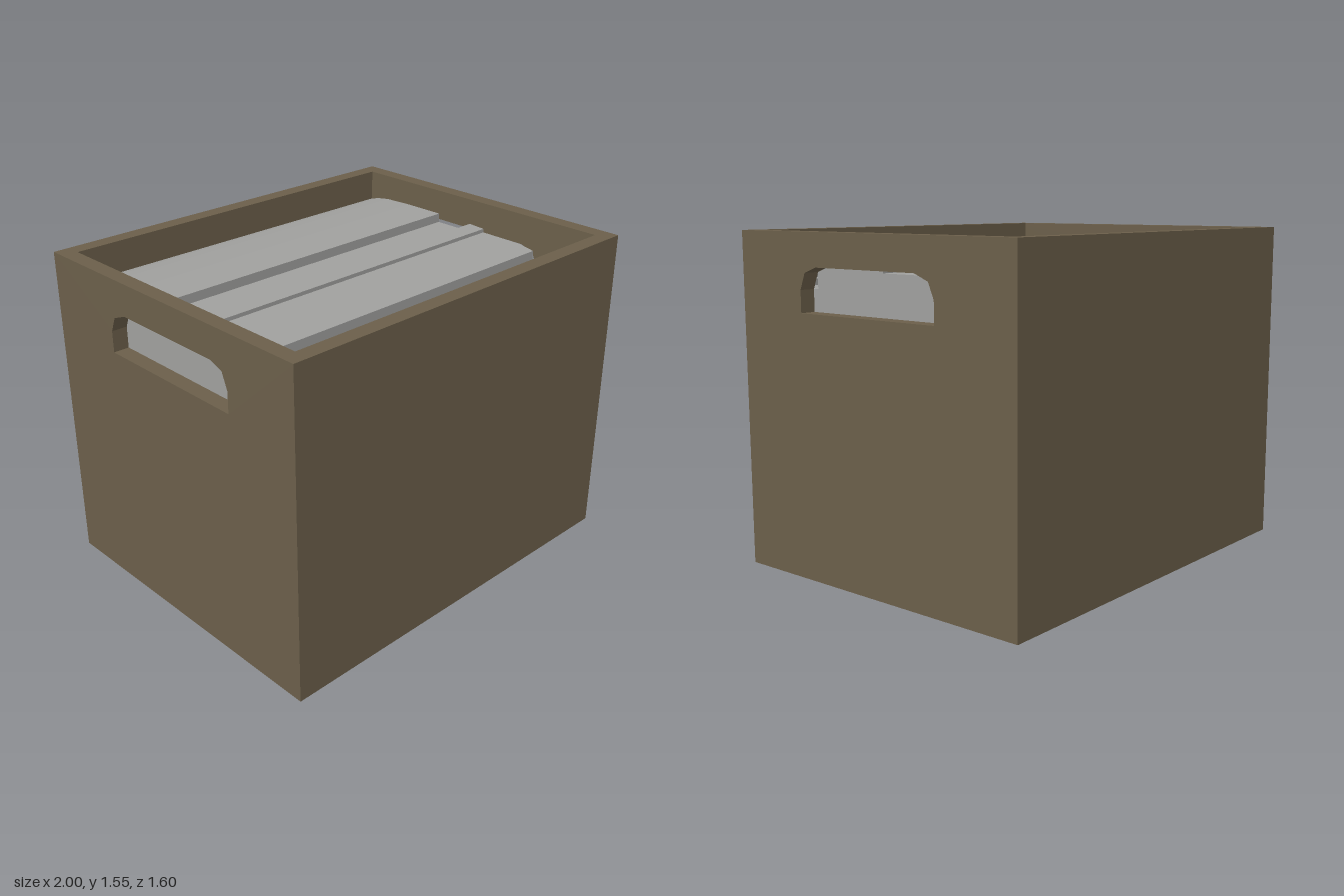
import * as THREE from 'three';

const W = 2, H = 1.55, D = 1.6, T = 0.075;

// Extrudes a (z, y) outline along x, from x1 back to x1 - width.
function extrudeAcross(points, x1, width, material, name, holePoints) {
  const toVec = ([z, y]) => new THREE.Vector2(z, y);
  const shape = new THREE.Shape(points.map(toVec));
  if (holePoints) shape.holes.push(new THREE.Path(holePoints.map(toVec)));
  const geometry = new THREE.ExtrudeGeometry(shape, { depth: width, bevelEnabled: false });
  geometry.rotateY(-Math.PI / 2).translate(x1, 0, 0);
  const mesh = new THREE.Mesh(geometry, material);
  mesh.name = name;
  return mesh;
}

export function createModel() {
  const card = new THREE.MeshStandardMaterial({ color: 0x6b5f4a });
  card.name = 'brown card';
  const paper = new THREE.MeshStandardMaterial({ color: 0xa0a09e });
  paper.name = 'grey paper';

  const model = new THREE.Group();
  model.name = 'fileBox';

  const box = new THREE.Group();
  box.name = 'box';
  model.add(box);

  // Side walls with hand holes
  const wall = [[-D / 2, 0], [D / 2, 0], [D / 2, H], [-D / 2, H]];
  const handHole = [
    [0.41, 1.2], [0.41, 1.3], [0.38, 1.375], [0.31, 1.4],
    [-0.275, 1.4], [-0.35, 1.37], [-0.38, 1.3], [-0.38, 1.2],
  ];
  box.add(extrudeAcross(wall, W / 2, T, card, 'leftWall', handHole));
  box.add(extrudeAcross(wall, -W / 2 + T, T, card, 'rightWall', handHole));

  // Front and back walls, floor
  const panel = (name, w, h, d, y, z) => {
    const mesh = new THREE.Mesh(new THREE.BoxGeometry(w, h, d), card);
    mesh.position.set(0, y, z);
    mesh.name = name;
    box.add(mesh);
  };
  panel('frontWall', W - 2 * T, H, T, H / 2, (D - T) / 2);
  panel('backWall', W - 2 * T, H, T, H / 2, -(D - T) / 2);
  panel('floor', W - 2 * T, T, D - 2 * T, T / 2, 0);

  // Stacks of paper: top edge of each as (z, y) from back to front
  const stacks = [
    [[-0.725, 1.4], [-0.67, 1.415], [-0.6, 1.425], [-0.45, 1.43], [-0.23, 1.43]],
    [[-0.23, 1.385], [-0.02, 1.385]],
    [[-0.02, 1.425], [0.07, 1.42]],
    [[0.07, 1.402], [0.3, 1.4], [0.385, 1.385]],
    [[0.385, 1.3], [0.575, 1.3]],
    [[0.575, 1.33], [0.65, 1.33]],
    [[0.65, 1.35], [0.715, 1.35]],
  ];
  const papers = new THREE.Group();
  papers.name = 'papers';
  model.add(papers);
  stacks.forEach((top, i) => {
    const front = top[top.length - 1][0];
    const outline = [[top[0][0], T], [front, T], ...top.slice().reverse()];
    papers.add(extrudeAcross(outline, 0.922, 1.844, paper, `paperStack${i + 1}`));
  });

  return model;
}
